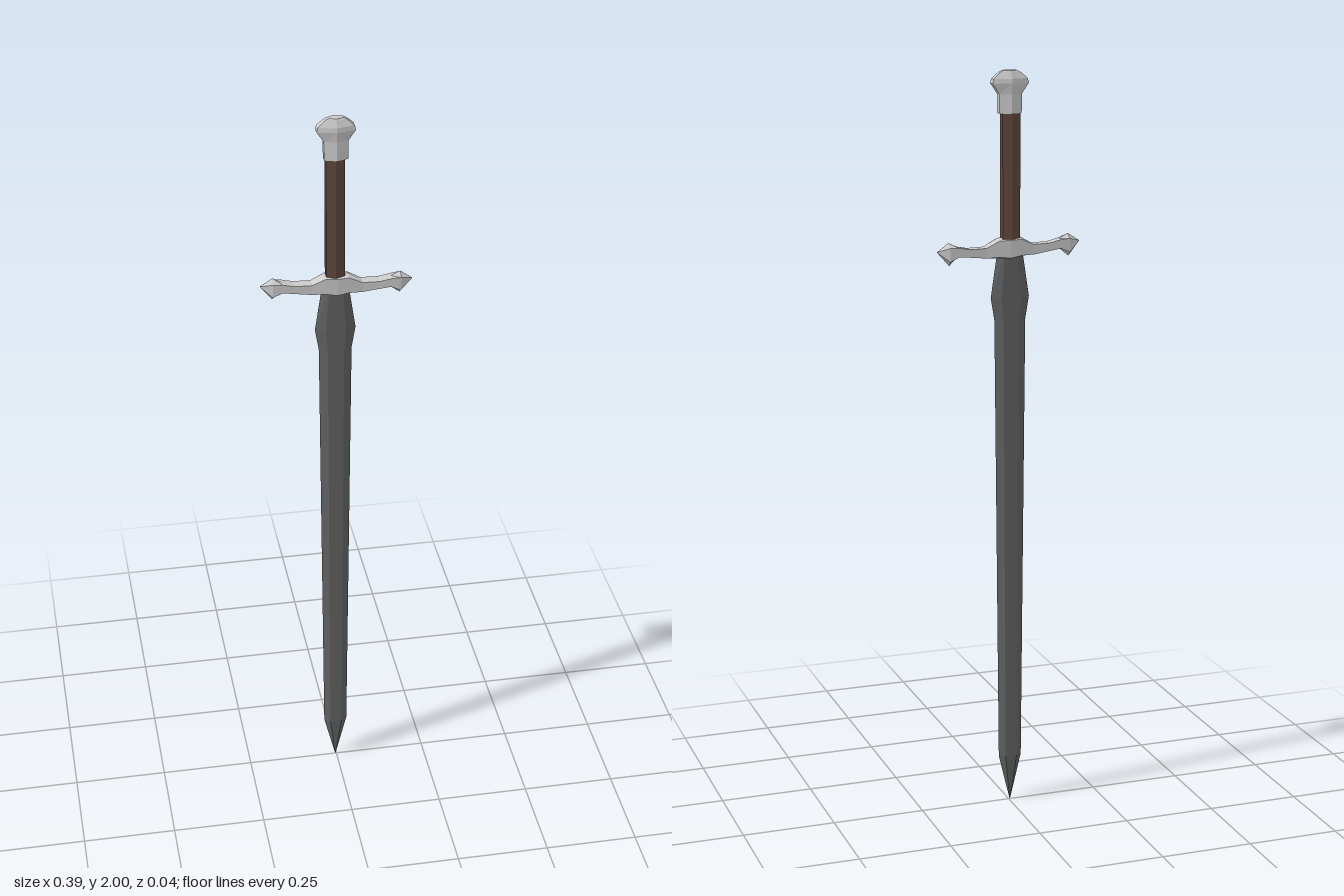
import * as THREE from 'three';

// Six-sided sections, listed counterclockwise seen from +y.
// keen: a sharp edge on each x side, flat faces on z (s = width of the flats).
const keen = (w, d, s) => [[w, 0], [s * w, -d], [-s * w, -d], [-w, 0], [-s * w, d], [s * w, d]];
// ridged: a ridge on each z side, narrow flats on x (s = depth of the flats).
const ridged = (w, d, s) => [[w, -s * d], [0, -d], [-w, -s * d], [-w, s * d], [0, d], [w, s * d]];

// Joins stations { y, ring, cx } into a closed, flat-shaded solid along y.
function loft(stations) {
  const pos = [];
  const rings = stations.map(({ y, ring, cx = 0 }) => ring.map(([x, z]) => [x + cx, y, z]));
  const tri = (a, b, c) => pos.push(...a, ...b, ...c);
  const n = rings[0].length;
  for (let k = 0; k < rings.length - 1; k++) {
    const lo = rings[k], hi = rings[k + 1];
    for (let i = 0; i < n; i++) {
      const j = (i + 1) % n;
      tri(lo[i], lo[j], hi[j]);
      tri(lo[i], hi[j], hi[i]);
    }
  }
  const bottom = rings[0], top = rings[rings.length - 1];
  for (let i = 1; i < n - 1; i++) {
    tri(bottom[0], bottom[i + 1], bottom[i]);
    tri(top[0], top[i], top[i + 1]);
  }
  const geo = new THREE.BufferGeometry();
  geo.setAttribute('position', new THREE.Float32BufferAttribute(pos, 3));
  geo.computeVertexNormals();
  return geo;
}

export function createModel() {
  const group = new THREE.Group();
  const material = (color) => new THREE.MeshStandardMaterial({ color, flatShading: true });
  const steel = material(0xcccccc);
  const darkSteel = material(0x626364);
  const leather = material(0x5f473c);

  const add = (name, geometry, mat) => {
    const mesh = new THREE.Mesh(geometry, mat);
    mesh.name = name;
    group.add(mesh);
    return mesh;
  };

  // Blade, pointing down: [y, half width, half thickness]
  const blade = add('blade', loft([
    [0, 0.0005, 0.0005], [0.13, 0.032, 0.011], [1.35, 0.043, 0.012],
    [1.41, 0.053, 0.012], [1.53, 0.035, 0.012],
  ].map(([y, w, d]) => ({ y, ring: keen(w, d, 0.5) }))), darkSteel);
  blade.position.x = -0.003;

  // Crossguard, one half: [x, centre y, half height, half depth, flatness]
  const half = [
    [0.03, 1.542, 0.027, 0.018, 0.8], [0.065, 1.533, 0.014, 0.015, 0.95],
    [0.11, 1.536, 0.011, 0.015, 0.95], [0.14, 1.541, 0.013, 0.015, 0.9],
    [0.165, 1.536, 0.03, 0.015, 0.6], [0.196, 1.544, 0.001, 0.001, 0.6],
  ];
  const mirrored = half.map(([x, ...rest]) => [-x, ...rest]).reverse();
  const middle = [0, 1.539, 0.031, 0.02, 0.75];
  const guardGeo = loft([...mirrored, middle, ...half].map(([x, cy, h, d, s]) => (
    { y: x, cx: 1.54 - cy, ring: keen(h, d, s) })));
  guardGeo.rotateZ(-Math.PI / 2);
  const guard = add('crossguard', guardGeo, steel);
  guard.position.y = 1.54;
  guard.rotation.z = -0.027;

  // Grip
  const grip = add('grip', loft([1.55, 1.9].map((y) => (
    { y, ring: ridged(0.024, 0.017, 0.6) }))), leather);
  grip.position.x = -0.004;

  // Pommel, flaring towards the top: [y, half width, half depth]
  const pommel = add('pommel', loft([
    [1.89, 0.03, 0.019], [1.94, 0.031, 0.018], [1.967, 0.049, 0.022],
    [1.979, 0.046, 0.021], [1.995, 0.028, 0.014], [2.0, 0.018, 0.012],
  ].map(([y, w, d]) => ({ y, ring: ridged(w, d, 0.5) }))), steel);
  pommel.position.x = -0.002;

  return group;
}
